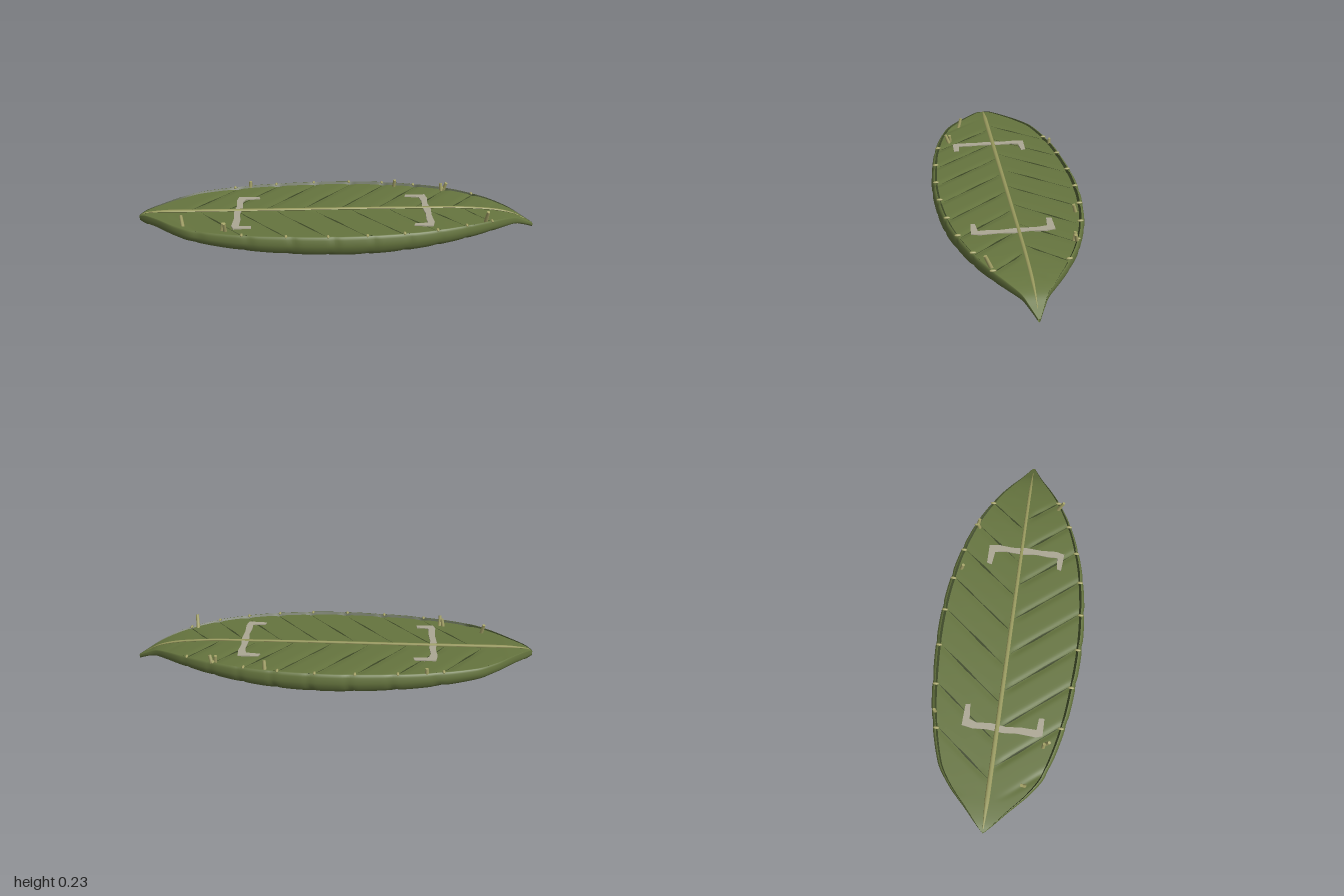
import * as THREE from 'three';

// Stations along the leaf: x, half width, rim height, keel height
const STATIONS = [
  [-1, 0.004, 0.155, 0.13], [-0.97, 0.035, 0.168, 0.108], [-0.9, 0.1, 0.175, 0.095],
  [-0.8, 0.195, 0.177, 0.078], [-0.7, 0.26, 0.178, 0.062], [-0.45, 0.33, 0.18, 0.03],
  [-0.2, 0.36, 0.182, 0.01], [0, 0.368, 0.183, 0.004], [0.2, 0.355, 0.183, 0.007],
  [0.4, 0.32, 0.181, 0.024], [0.6, 0.252, 0.178, 0.047], [0.75, 0.172, 0.167, 0.066],
  [0.83, 0.115, 0.155, 0.075], [0.9, 0.06, 0.135, 0.08], [0.95, 0.032, 0.108, 0.073],
  [1, 0.006, 0.08, 0.06],
];
// Half cross-section from keel to rim: width fraction, height fraction
const PROFILE = [[0, 0], [0.22, 0.1], [0.45, 0.2], [0.68, 0.295], [0.86, 0.385], [0.94, 0.475],
  [0.985, 0.6], [1, 0.76], [0.99, 0.92], [0.97, 0.99], [0.95, 1]];
const DECK_EDGE = 0.92, VEIN_STEP = 0.19, VEIN_SLOPE = 0.8;

// Smooth interpolation of the station table
function station(x) {
  const S = STATIONS, n = S.length;
  let i = 0;
  while (i < n - 2 && x > S[i + 1][0]) i++;
  const h = S[i + 1][0] - S[i][0], t = (x - S[i][0]) / h;
  const slope = (k, c) => {
    const a = S[Math.max(k - 1, 0)], b = S[Math.min(k + 1, n - 1)];
    return (b[c] - a[c]) / (b[0] - a[0]);
  };
  const at = (c) => {
    const t2 = t * t, t3 = t2 * t;
    return (2 * t3 - 3 * t2 + 1) * S[i][c] + (t3 - 2 * t2 + t) * h * slope(i, c)
      + (3 * t2 - 2 * t3) * S[i + 1][c] + (t3 - t2) * h * slope(i + 1, c);
  };
  return { w: at(1), top: at(2), low: at(3) };
}

// Depth of the crease along each side vein
function crease(x, z) {
  const offset = z > 0 ? 0.06 : 0;
  const p = (x - offset - VEIN_SLOPE * Math.abs(z)) / VEIN_STEP;
  const d = (p - Math.round(p)) * VEIN_STEP;
  const fade = Math.min(1, Math.abs(z) / 0.05) * THREE.MathUtils.clamp((0.85 - Math.abs(x)) / 0.15, 0, 1);
  return fade * Math.exp(-((d / 0.02) ** 2));
}

function deckY(x, z) {
  const s = station(x);
  return s.top - 0.06 * (s.top - s.low) - 0.005 * crease(x, z);
}

// Surface over a grid, fn(u, v) -> [x, y, z]
function grid(nu, nv, fn) {
  const pos = [], idx = [];
  for (let i = 0; i <= nu; i++) for (let j = 0; j <= nv; j++) pos.push(...fn(i / nu, j / nv));
  for (let i = 0; i < nu; i++) for (let j = 0; j < nv; j++) {
    const a = i * (nv + 1) + j, b = a + nv + 1;
    idx.push(a, b, a + 1, b, b + 1, a + 1);
  }
  const g = new THREE.BufferGeometry();
  g.setAttribute('position', new THREE.Float32BufferAttribute(pos, 3));
  g.setIndex(idx);
  g.computeVertexNormals();
  return g;
}

export function createModel() {
  const model = new THREE.Group();
  const mat = (name, color) => new THREE.MeshStandardMaterial({ name, color, side: THREE.DoubleSide });
  const leaf = mat('leafGreen', 0x66753f);
  const dark = mat('darkGreen', 0x3c4726);
  const vein = mat('veinOlive', 0x97985c);
  const stalk = mat('stalkYellow', 0xa6a468);
  const pale = mat('paleMark', 0xaca794);
  const add = (name, geo, m, parent = model) => {
    const mesh = new THREE.Mesh(geo, m);
    mesh.name = name;
    parent.add(mesh);
    return mesh;
  };
  const group = (name) => {
    const g = new THREE.Group();
    g.name = name;
    model.add(g);
    return g;
  };

  // Underside and rolled rim
  const last = PROFILE.length - 1;
  add('hull', grid(160, last * 2, (u, v) => {
    const x = -1 + 2 * u, k = Math.round(v * last * 2) - last;
    const [f, g] = PROFILE[Math.abs(k)], s = station(x);
    const z = Math.sign(k) * f * s.w;
    const c = crease(x, z);
    return [x, s.low + g * (s.top - s.low) + (g < 0.5 ? 0.004 * c : 0), z * (1 - (g > 0.4 ? 0.012 * c : 0))];
  }), leaf);

  // Upper leaf face with vein creases
  add('deck', grid(200, 40, (u, v) => {
    const x = -1 + 2 * u, z = (1 - 2 * v) * DECK_EDGE * station(x).w;
    return [x, deckY(x, z), z];
  }), leaf);

  // Dark fold between deck and rim
  for (const side of [1, -1]) {
    add('rimFold', grid(160, 1, (u, v) => {
      const x = -1 + 2 * u, s = station(x);
      const z = side * s.w * (v ? DECK_EDGE : 0.95);
      return [x, v ? deckY(x, z) : s.top, z];
    }), dark);
  }

  // Midrib above and below, tapering towards the tip
  const rib = (name, x0, x1, r, yAt) => add(name, grid(100, 8, (u, v) => {
    const x = x0 + (x1 - x0) * u, a = v * Math.PI * 2;
    const q = r * (1 - 0.4 * u) * Math.min(1, 12 * u + 0.2, 12 * (1 - u) + 0.2);
    return [x, yAt(x) + Math.sin(a) * q * 0.6, Math.cos(a) * q];
  }), vein);
  rib('midrib', -0.985, 0.96, 0.012, (x) => deckY(x, 0) + 0.003);
  rib('keelRib', -0.97, 0.97, 0.01, (x) => station(x).low + 0.001);

  // Side veins: a tapering dark crease ending in a small nub on the rim
  const veins = group('sideVeins');
  for (const side of [1, -1]) {
    for (let k = -4; k <= 3; k++) {
      const x0 = k * VEIN_STEP + (side > 0 ? 0.06 : 0);
      let end = 0.02;
      while (end < 0.88 * station(x0 + VEIN_SLOPE * end).w) end += 0.005;
      if (end < 0.06) continue;
      add('veinCrease', grid(24, 2, (u, v) => {
        const a = 0.015 + (end - 0.015) * u, z = side * a;
        const half = 0.007 * Math.sin(Math.PI * (0.08 + 0.84 * u)) * (0.65 + 0.35 * Math.sin(9 * u + 2 * k));
        const x = x0 + VEIN_SLOPE * a + (v * 2 - 1) * half;
        return [x, deckY(x, z) + 0.0015, z];
      }), dark, veins);
      const xe = x0 + VEIN_SLOPE * end, s = station(xe);
      const nub = add('veinNub', new THREE.SphereGeometry(1, 8, 6), stalk, veins);
      nub.scale.set(0.007, 0.006, 0.016);
      nub.position.set(xe, s.top, side * s.w * 0.94);
    }
  }

  // Upright stalks on the rim: base x, z, tip x, y, z
  const stalks = group('stalks');
  const STALKS = [
    [-0.76, 0.17, -0.77, 0.218, 0.152], [-0.55, 0.235, -0.552, 0.218, 0.258], [-0.57, 0.23, -0.56, 0.21, 0.235],
    [0.72, 0.16, 0.726, 0.226, 0.188], [0.31, -0.3, 0.314, 0.212, -0.285], [0.56, -0.235, 0.555, 0.208, -0.242],
    [0.57, -0.25, 0.584, 0.21, -0.238], [-0.46, -0.31, -0.458, 0.205, -0.312],
  ];
  for (const [bx, bz, tx, ty, tz] of STALKS) {
    const a = new THREE.Vector3(bx, 0.155, bz), b = new THREE.Vector3(tx, ty, tz);
    const dir = b.clone().sub(a);
    const m = add('stalk', new THREE.CylinderGeometry(0.008, 0.01, dir.length(), 7), stalk, stalks);
    m.position.copy(a).lerp(b, 0.5);
    m.quaternion.setFromUnitVectors(new THREE.Vector3(0, 1, 0), dir.normalize());
  }

  // Pale bracket marks lying on the deck: outline as x, z
  const bracket = (name, pts) => {
    const shape = new THREE.Shape(pts.map(([x, z]) => new THREE.Vector2(x, -z)));
    const geo = new THREE.ExtrudeGeometry(shape, { depth: 0.006, bevelEnabled: false });
    geo.rotateX(-Math.PI / 2);
    add(name, geo, pale).position.y = deckY(pts[0][0], 0) - 0.002;
  };
  bracket('rearBracket', [[-0.51, -0.172], [-0.405, -0.168], [-0.4, -0.145], [-0.475, -0.138], [-0.488, -0.1],
    [-0.483, -0.03], [-0.492, 0.04], [-0.486, 0.12], [-0.488, 0.19], [-0.43, 0.195], [-0.428, 0.222],
    [-0.515, 0.222], [-0.525, 0.19], [-0.518, 0.1], [-0.524, 0.03], [-0.515, -0.05], [-0.52, -0.12]]);
  bracket('frontBracket', [[0.46, -0.17], [0.36, -0.17], [0.352, -0.145], [0.425, -0.136], [0.434, -0.08],
    [0.428, 0], [0.436, 0.08], [0.43, 0.14], [0.432, 0.188], [0.368, 0.194], [0.362, 0.215],
    [0.455, 0.222], [0.466, 0.18], [0.462, 0.1], [0.468, 0.02], [0.46, -0.05], [0.467, -0.12]]);

  return model;
}
